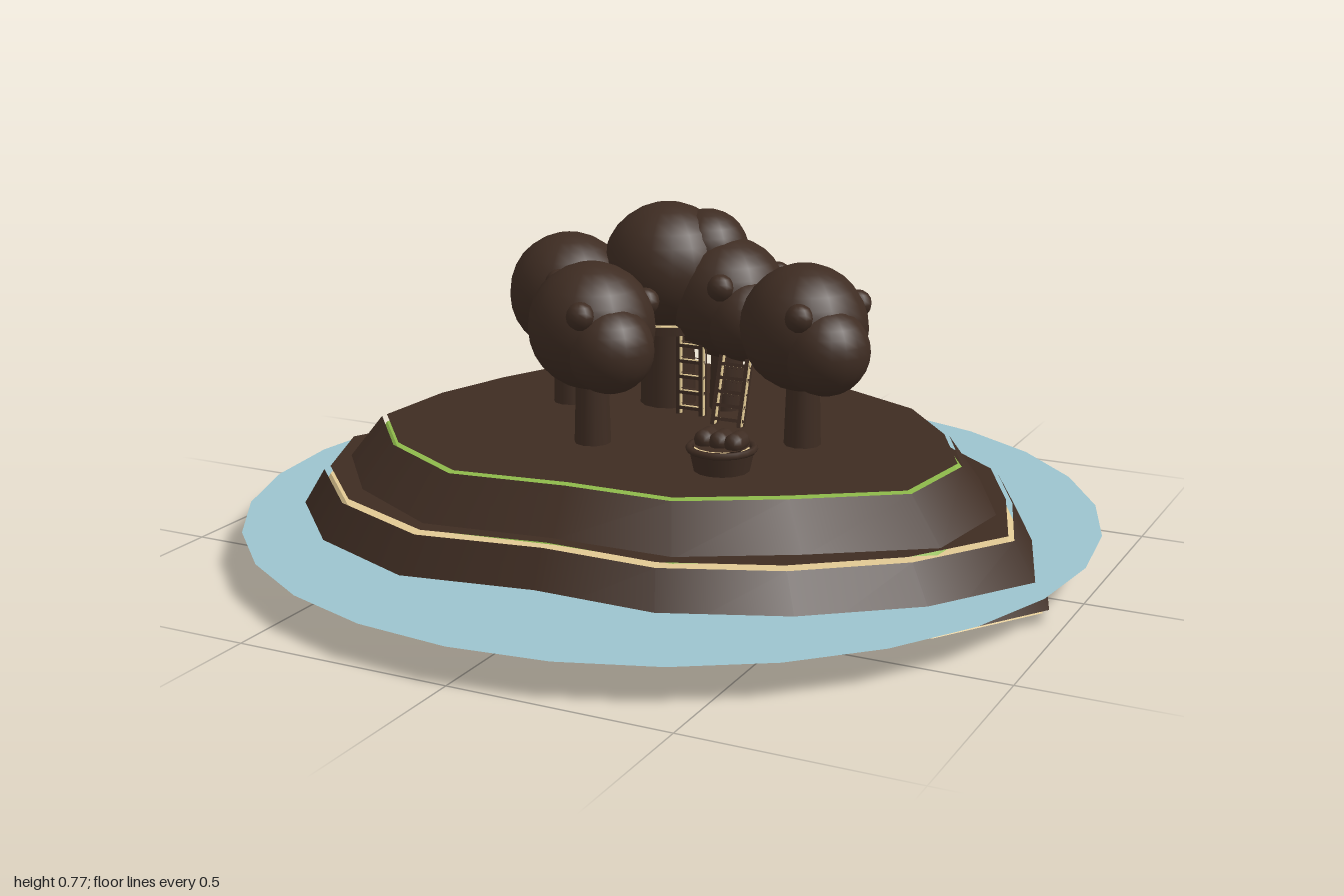
import * as THREE from 'three';

const material = (name, color, side = THREE.FrontSide) => {
  const m = new THREE.MeshStandardMaterial({ color, side });
  m.name = name;
  return m;
};

export function createModel() {
  const model = new THREE.Group();
  model.name = 'islandGrove';
  const dark = material('darkBrown', 0x3e2c22);
  const sand = material('sand', 0xe0c893);
  const grass = material('grassGreen', 0x8db84a);
  const sea = material('seaBlue', 0x9bc3cd, THREE.DoubleSide);

  const add = (name, geometry, mat, parent = model, x = 0, y = 0, z = 0) => {
    const mesh = new THREE.Mesh(geometry, mat);
    mesh.name = name;
    mesh.position.set(x, y, z);
    parent.add(mesh);
    return mesh;
  };

  // A coloured core inside a dark shell: every face is pushed out along its normal,
  // so the core shows through the gaps along hard edges.
  const shelled = (name, geometry, mat, t, parent = model, x = 0, y = 0, z = 0) => {
    const group = new THREE.Group();
    group.name = name;
    group.position.set(x, y, z);
    parent.add(group);
    add(name + 'Core', geometry, mat, group);
    const shell = geometry.clone();
    const p = shell.attributes.position, n = shell.attributes.normal;
    for (let i = 0; i < p.count; i++) {
      p.setXYZ(i, p.getX(i) + n.getX(i) * t, p.getY(i) + n.getY(i) * t, p.getZ(i) + n.getZ(i) * t);
    }
    add(name + 'Shell', shell, dark, group);
    return group;
  };

  // Irregular tapered island tier; radii run clockwise from the back as seen from above
  const tier = (name, radii, flare, y0, y1, mat) => {
    const count = radii.length;
    const geometry = new THREE.CylinderGeometry(1, flare, y1 - y0, count, 1);
    const p = geometry.attributes.position;
    for (let i = 0; i < p.count; i++) {
      const x = p.getX(i), z = p.getZ(i);
      if (Math.hypot(x, z) < 0.01) continue;
      const k = Math.round(Math.atan2(x, -z) / (2 * Math.PI) * count + count) % count;
      p.setX(i, x * radii[k] * 1.2);
      p.setZ(i, z * radii[k]);
    }
    shelled(name, geometry, mat, 0.018, model, 0, (y0 + y1) / 2, 0);
  };
  tier('sandTier', [0.73, 0.638, 0.633, 0.65, 0.66, 0.73, 0.69, 0.66, 0.644, 0.6,
    0.69, 0.705, 0.7, 0.694, 0.605, 0.66, 0.68, 0.69], 1.1, 0.018, 0.155, sand);
  tier('grassTier', [0.607, 0.526, 0.537, 0.54, 0.585, 0.605, 0.535, 0.536, 0.5,
    0.58, 0.58, 0.585, 0.53, 0.52, 0.573, 0.57], 1.12, 0.155, 0.26, grass);

  // Thin sheet of water
  const water = new THREE.CircleGeometry(1, 28);
  water.rotateX(-Math.PI / 2);
  add('water', water, sea, model, 0, 0.083, 0);

  const ball = (name, r, parent, x, y, z) =>
    add(name, new THREE.SphereGeometry(r, r < 0.05 ? 10 : 18, r < 0.05 ? 8 : 14), dark, parent, x, y, z);

  // Round trees: trunk, main crown, lower side lobe and small fruit
  const tree = (x, z) => {
    const g = new THREE.Group();
    g.name = 'tree';
    g.position.set(x, 0, z);
    model.add(g);
    add('trunk', new THREE.CylinderGeometry(0.036, 0.043, 0.22, 10), dark, g, 0, 0.37, 0);
    ball('crown', 0.145, g, 0, 0.55, 0);
    ball('crownLobe', 0.1, g, 0.075, 0.515, 0.055);
    for (const [fx, fy, fz] of [[0.04, 0.6, 0.125], [-0.12, 0.55, -0.05], [0.1, 0.6, -0.07]])
      ball('fruit', 0.032, g, fx, fy, fz);
  };
  for (const [x, z] of [[-0.315, -0.08], [-0.1, 0.205], [0.335, 0.01], [0.05, -0.195]]) tree(x, z);

  // Big tree with a round platform below its crown
  const big = new THREE.Group();
  big.name = 'bigTree';
  big.position.set(-0.1, 0, -0.18);
  model.add(big);
  add('bigTrunk', new THREE.CylinderGeometry(0.06, 0.068, 0.3, 12), dark, big, 0, 0.41, 0);
  shelled('platform', new THREE.CylinderGeometry(0.11, 0.11, 0.02, 18), sand, 0.014, big, 0, 0.48, 0);
  ball('bigCrown', 0.157, big, 0, 0.613, 0);
  ball('bigCrownLobe', 0.1, big, 0.09, 0.655, -0.03);

  // Ladders: two rails and rungs, each a small shelled bar
  const ladder = (x, z, height, halfWidth, tilt) => {
    const g = new THREE.Group();
    g.name = 'ladder';
    g.position.set(x, 0.27, z);
    g.rotation.x = tilt;
    model.add(g);
    for (const s of [-1, 1])
      shelled('rail', new THREE.BoxGeometry(0.01, height, 0.01), sand, 0.005, g, s * halfWidth, height / 2, 0);
    for (let i = 0; i < 5; i++)
      shelled('rung', new THREE.BoxGeometry(halfWidth * 2, 0.008, 0.008), sand, 0.005, g,
        0, height * (0.12 + i * 0.19), 0);
  };
  ladder(0, -0.1, 0.2, 0.03, 0);
  ladder(0.117, -0.05, 0.17, 0.034, -0.3);

  // Basket with three loaves
  const basket = new THREE.Group();
  basket.name = 'basket';
  basket.position.set(0.255, 0, 0.27);
  model.add(basket);
  shelled('basketBowl', new THREE.CylinderGeometry(0.062, 0.05, 0.055, 14), sand, 0.01, basket, 0, 0.297, 0);
  const rim = new THREE.TorusGeometry(0.072, 0.008, 6, 18);
  rim.rotateX(Math.PI / 2);
  add('basketRim', rim, dark, basket, 0, 0.328, 0);
  for (let i = -1; i <= 1; i++) {
    const loaf = new THREE.CapsuleGeometry(0.023, 0.026, 4, 10);
    loaf.rotateX(Math.PI / 2);
    add('loaf', loaf, dark, basket, i * 0.036, 0.345, 0);
  }
  return model;
}
